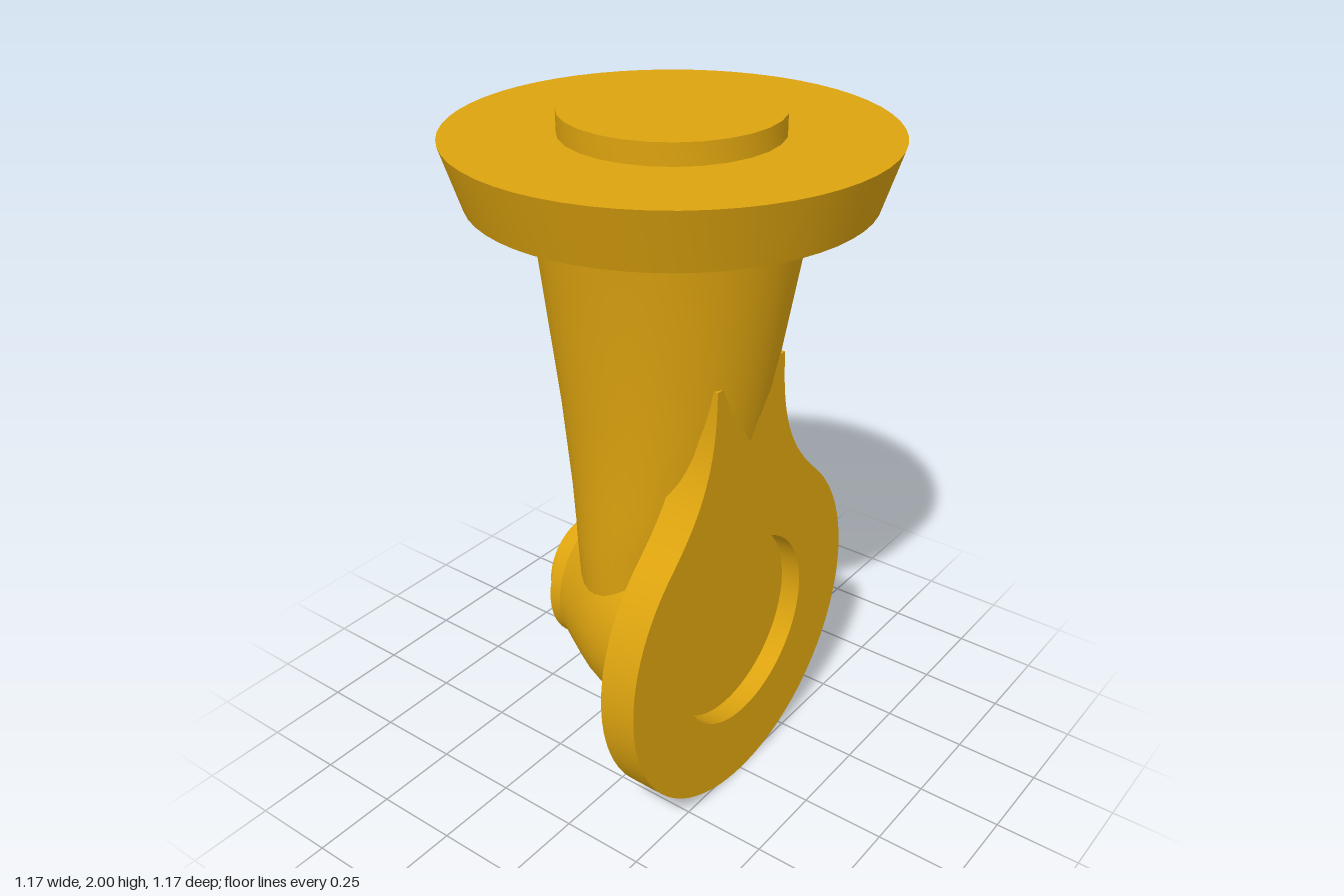
import * as THREE from 'three';
import { toCreasedNormals } from 'three/addons/utils/BufferGeometryUtils.js';

const AXLE_Y = 0.517; // height of the horizontal axis
const SIDES = 40;

// Turned profile of [radius, height] pairs, listed from bottom to top
function turned(points, sides = SIDES) {
  return new THREE.LatheGeometry(points.map(([r, h]) => new THREE.Vector2(r, h)), sides);
}

// Closed loft of elliptical sections [y, halfWidth, zFront, zBack], bottom to top
function loft(sections) {
  const pos = [], index = [];
  for (const [y, w, zf, zb] of sections) {
    for (let i = 0; i < SIDES; i++) {
      const a = (i / SIDES) * Math.PI * 2;
      pos.push(w * Math.sin(a), y, (zf + zb) / 2 + ((zf - zb) / 2) * Math.cos(a));
    }
  }
  for (let s = 0; s < sections.length - 1; s++) {
    for (let i = 0; i < SIDES; i++) {
      const a = s * SIDES + i, b = s * SIDES + ((i + 1) % SIDES);
      index.push(a, b, b + SIDES, a, b + SIDES, a + SIDES);
    }
  }
  const geometry = new THREE.BufferGeometry();
  geometry.setAttribute('position', new THREE.Float32BufferAttribute(pos, 3));
  geometry.setIndex(index);
  geometry.computeVertexNormals();
  return geometry;
}

// Round plate whose concave shoulders sweep up into the column
function plateShape() {
  const r = 0.517, start = 0.83;
  const x = r * Math.cos(start), y = AXLE_Y + r * Math.sin(start);
  const shape = new THREE.Shape();
  shape.moveTo(x, y);
  shape.bezierCurveTo(x - 0.14, y + 0.13, 0.155, 1.14, 0.155, 1.35);
  shape.lineTo(-0.155, 1.35);
  shape.bezierCurveTo(-0.155, 1.14, -x + 0.14, y + 0.13, -x, y);
  shape.absarc(0, AXLE_Y, r, Math.PI - start, Math.PI * 2 + start, false);
  const hole = new THREE.Path();
  hole.absarc(0, AXLE_Y + 0.003, 0.29, 0, Math.PI * 2, true);
  shape.holes.push(hole);
  return shape;
}

export function createModel() {
  const group = new THREE.Group();
  const material = new THREE.MeshStandardMaterial({ color: 0xdca30f });

  function add(name, geometry, crease = 0.6) {
    const mesh = new THREE.Mesh(toCreasedNormals(geometry, crease), material);
    mesh.name = name;
    group.add(mesh);
    return mesh;
  }
  // Turned part lying along z at axle height
  function addAxial(name, points) {
    add(name, turned(points).rotateX(Math.PI / 2)).position.y = AXLE_Y + 0.003;
  }

  // Top flange and its raised centre
  add('topFlange', turned([[0, 1.777], [0.532, 1.777], [0.585, 1.942], [0, 1.942]], 56));
  add('topBoss', turned([[0, 1.93], [0.29, 1.93], [0.29, 2], [0, 2]], 28));

  // Tapered column narrowing into the joint
  add('column', loft([
    [0.52, 0.27, 0.18, -0.235],
    [0.68, 0.285, 0.18, -0.24],
    [0.82, 0.289, 0.195, -0.252],
    [0.95, 0.29, 0.252, -0.272],
    [1.2, 0.29, 0.265, -0.308],
    [1.78, 0.367, 0.367, -0.367],
  ]), 0.8);

  // Rounded joint body; its front end forms the floor of the recess
  addAxial('jointBody', [
    [0, -0.25], [0.222, -0.25], [0.25, -0.2], [0.277, -0.15], [0.302, -0.1],
    [0.32, -0.05], [0.331, 0], [0.336, 0.06], [0.336, 0.2], [0, 0.2],
  ]);

  // Front plate with round recess
  const plate = new THREE.ExtrudeGeometry(plateShape(), { depth: 0.11, bevelEnabled: false, curveSegments: 36 });
  add('frontPlate', plate.translate(0, 0, 0.152));

  // Stepped boss at the back
  addAxial('rearCollar', [[0, -0.293], [0.215, -0.293], [0.215, -0.2], [0, -0.2]]);
  addAxial('rearPin', [[0, -0.352], [0.145, -0.352], [0.145, -0.28], [0, -0.28]]);

  return group;
}
